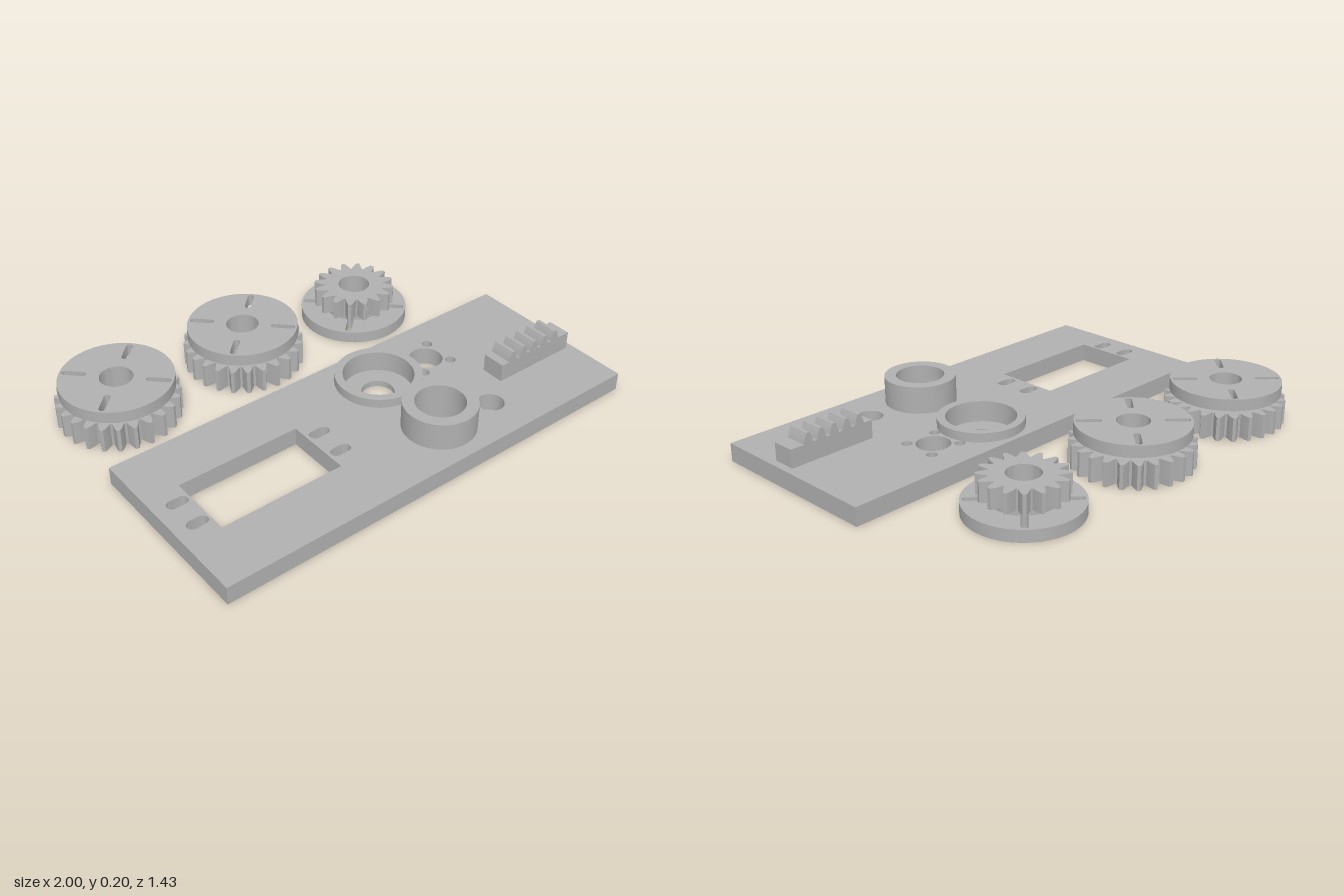
import * as THREE from 'three';
import { toCreasedNormals } from 'three/addons/utils/BufferGeometryUtils.js';

const MODULE = 0.02; // gear tooth module
const BORE = 0.07;

// Half widths of a tooth at heights above the pitch line, in modules
const TOOTH = [[-1.25, 1.15], [-0.6, 0.98], [0, 0.785], [0.6, 0.53], [1, 0.36]];

const circle = (x, z, r) => new THREE.Path().absarc(x, z, r, 0, Math.PI * 2);

const disc = (r) => new THREE.Shape().absarc(0, 0, r, 0, Math.PI * 2);

// Round-ended slot between two end centres
function slot(x1, z1, x2, z2, r) {
  const a = Math.atan2(z2 - z1, x2 - x1);
  const p = new THREE.Path();
  p.absarc(x2, z2, r, a - Math.PI / 2, a + Math.PI / 2);
  p.absarc(x1, z1, r, a + Math.PI / 2, a + Math.PI * 1.5);
  p.closePath();
  return p;
}

// Flat plan shape (x, z) raised from y0 to y1
function slab(name, shape, holes, y0, y1, material) {
  shape.holes.push(...holes);
  let g = new THREE.ExtrudeGeometry(shape, { depth: y1 - y0, bevelEnabled: false, curveSegments: 24 });
  g.rotateX(Math.PI / 2).translate(0, y1, 0);
  g = toCreasedNormals(g, 0.5);
  const mesh = new THREE.Mesh(g, material);
  mesh.name = name;
  return mesh;
}

function gearShape(teeth) {
  const pitchR = MODULE * teeth / 2;
  const pts = [];
  for (let i = 0; i < teeth; i++) {
    const mid = i / teeth * Math.PI * 2;
    const add = (h, w) => {
      const r = pitchR + h * MODULE;
      const a = mid + w * MODULE / r;
      pts.push(new THREE.Vector2(Math.cos(a) * r, Math.sin(a) * r));
    };
    TOOTH.forEach(([h, w]) => add(h, -w));
    [...TOOTH].reverse().forEach(([h, w]) => add(h, w));
  }
  return new THREE.Shape(pts);
}

// Gear, narrow neck and slotted flange; spans are [y0, y1]
function flangedGear(name, teeth, x, z, gearY, neckY, flangeY, material) {
  const group = new THREE.Group();
  group.name = name;
  const bore = () => circle(0, 0, BORE);
  const slots = [];
  for (let i = 0; i < 4; i++) {
    const a = Math.PI / 4 + i * Math.PI / 2;
    const c = Math.cos(a), s = Math.sin(a);
    slots.push(slot(c * 0.139, s * 0.139, c * 0.216, s * 0.216, 0.014));
  }
  group.add(
    slab('toothedWheel', gearShape(teeth), [bore()], ...gearY, material),
    slab('neck', disc(0.135), [bore()], ...neckY, material),
    slab('slottedFlange', disc(0.24), [bore(), ...slots], ...flangeY, material)
  );
  group.position.set(x, 0, z);
  return group;
}

export function createModel() {
  const grey = new THREE.MeshStandardMaterial({ color: 0xb0b0b0 });
  grey.name = 'plainGrey';
  const model = new THREE.Group();
  model.name = 'gearKit';

  // Base plate with its cutouts
  const rect = (x0, z0, x1, z1, C) => new C([[x0, z0], [x1, z0], [x1, z1], [x0, z1]].map(p => new THREE.Vector2(...p)));
  const holes = [
    rect(-0.845, 0.165, -0.295, 0.455, THREE.Path),
    circle(0.17, 0.123, 0.15),
    circle(0.17, 0.5, 0.104),
    circle(0.437, 0.123, 0.072),
    circle(0.437, 0.522, 0.056)
  ];
  for (const z of [0.243, 0.378]) {
    holes.push(slot(-0.921, z, -0.879, z, 0.024), slot(-0.257, z, -0.215, z, 0.024));
  }
  for (const sx of [-1, 1]) for (const sz of [-1, 1]) {
    holes.push(circle(0.437 + sx * 0.075, 0.123 + sz * 0.075, 0.0225));
  }
  model.add(slab('basePlate', rect(-1, -0.085, 1, 0.712, THREE.Shape), holes, 0, 0.08, grey));

  // Bearing seat: low collar and recessed floor
  const collar = slab('bearingCollar', disc(0.185), [circle(0, 0, 0.15)], 0.08, 0.12, grey);
  const floor = slab('bearingFloor', disc(0.15), [circle(0, 0, BORE)], 0, 0.027, grey);
  for (const m of [collar, floor]) {
    m.position.set(0.17, 0, 0.123);
    model.add(m);
  }

  // Tall sleeve
  const sleeve = slab('tallSleeve', disc(0.154), [circle(0, 0, 0.104)], 0.08, 0.2, grey);
  sleeve.position.set(0.17, 0, 0.5);
  model.add(sleeve);

  // Toothed rack: side profile extruded along z
  const profile = [[0.572, 0.08], [0.968, 0.08], [0.968, 0.16]];
  for (let i = 4; i >= 0; i--) {
    const x = 0.634 + i * Math.PI * MODULE * 0.99;
    const y = 0.16 + 1.25 * MODULE;
    TOOTH.forEach(([h, w]) => profile.push([x + w * MODULE, y + h * MODULE]));
    [...TOOTH].reverse().forEach(([h, w]) => profile.push([x - w * MODULE, y + h * MODULE]));
  }
  profile.push([0.572, 0.16]);
  const rackShape = new THREE.Shape(profile.map(p => new THREE.Vector2(...p)));
  const rackGeo = new THREE.ExtrudeGeometry(rackShape, { depth: 0.103, bevelEnabled: false });
  const rack = new THREE.Mesh(toCreasedNormals(rackGeo, 0.5), grey);
  rack.name = 'toothedRack';
  rack.position.z = 0.34;
  model.add(rack);

  // Two large gears with the flange on top, one small gear with it below
  for (const [name, x] of [['rightGear', -0.741], ['middleGear', -0.115]]) {
    model.add(flangedGear(name, 24, x, -0.455, [0, 0.106], [0.106, 0.13], [0.13, 0.182], grey));
  }
  model.add(flangedGear('smallGear', 16, 0.492, -0.436, [0.075, 0.16], [0.052, 0.075], [0, 0.052], grey));

  return model;
}
